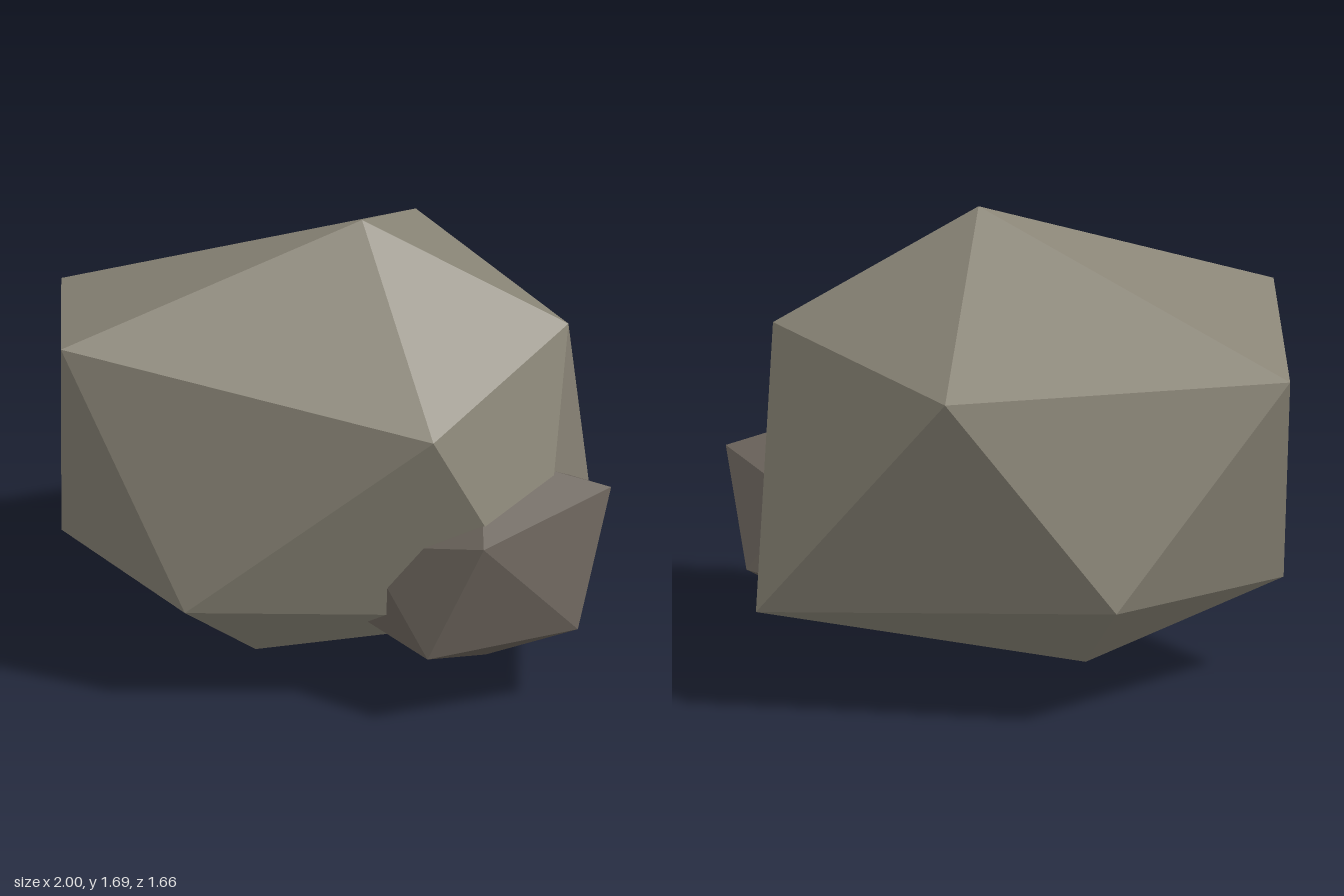
import * as THREE from 'three';
import { ConvexGeometry } from 'three/addons/geometries/ConvexGeometry.js';

// A faceted boulder: the hull of twelve irregular icosahedron corners
function rock(name, material, corners) {
  const points = corners.map((c) => new THREE.Vector3(...c));
  const mesh = new THREE.Mesh(new ConvexGeometry(points), material);
  mesh.name = name;
  return mesh;
}

export function createModel() {
  const group = new THREE.Group();
  group.name = 'rocks';

  const paleStone = new THREE.MeshStandardMaterial({ color: 0x8a8577 });
  paleStone.name = 'pale stone';
  const darkStone = new THREE.MeshStandardMaterial({ color: 0x6a635b });
  darkStone.name = 'dark stone';

  group.add(rock('largeRock', paleStone, [
    [0.10, 1.69, 0.20], // peak
    // upper ring
    [-0.95, 1.31, 0.54], [-1.00, 1.20, -0.33], [0.23, 1.28, -0.83],
    [0.83, 1.28, 0.14], [0.39, 1.10, 0.81],
    // lower ring
    [-0.50, 0.37, 0.70], [-0.98, 0.37, 0.00], [-0.38, 0.45, -0.68],
    [0.895, 0.335, -0.28], [0.76, 0.36, 0.63],
    [-0.28, 0.00, 0.17], // foot
  ]));

  group.add(rock('smallRock', darkStone, [
    [0.53, 0.89, 0.39], // peak
    // upper ring
    [0.995, 0.75, 0.365], [0.57, 0.70, 0.83], [0.13, 0.60, 0.60],
    [0.23, 0.69, 0.25], [0.74, 0.66, 0.01],
    // lower ring
    [0.89, 0.295, 0.59], [0.37, 0.27, 0.83], [0.07, 0.30, 0.48],
    [0.55, 0.28, 0.01], [0.925, 0.385, 0.055],
    [0.55, 0.09, 0.37], // foot
  ]));

  return group;
}
